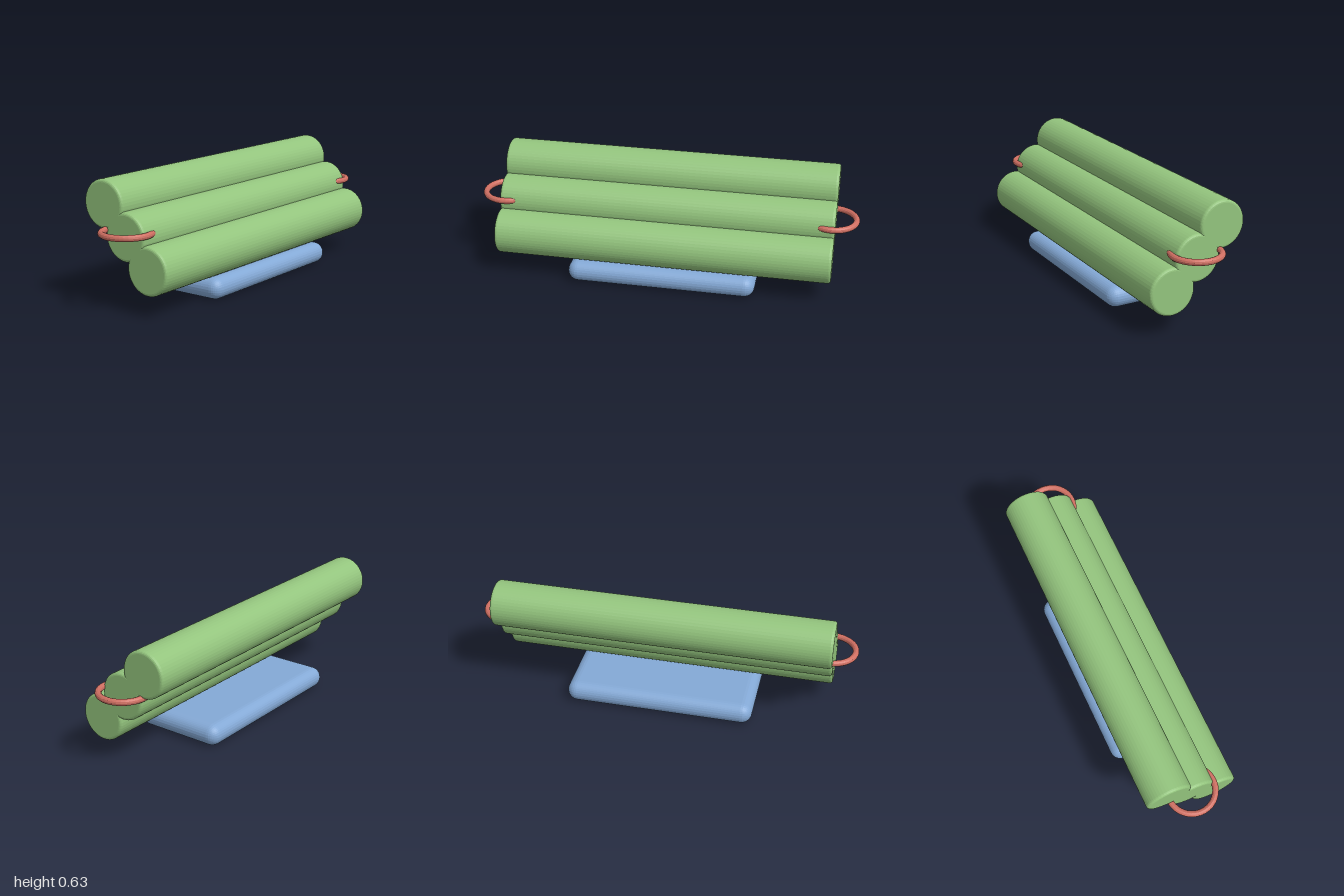
import * as THREE from 'three';
import { RoundedBoxGeometry } from 'three/addons/geometries/RoundedBoxGeometry.js';

const material = (color) => new THREE.MeshStandardMaterial({ color, flatShading: true });

// Horizontal roller along x with softly rounded end rims
function rollerGeometry(radius, halfLength, bevel) {
  const profile = [new THREE.Vector2(0, -halfLength)];
  for (const side of [-1, 1]) {
    for (let i = 0; i <= 4; i++) {
      const a = (side < 0 ? i : 4 - i) * Math.PI / 8;
      profile.push(new THREE.Vector2(
        radius - bevel + bevel * Math.sin(a),
        side * (halfLength - bevel + bevel * Math.cos(a))
      ));
    }
  }
  profile.push(new THREE.Vector2(0, halfLength));
  return new THREE.LatheGeometry(profile, 48).rotateZ(-Math.PI / 2);
}

export function createModel() {
  const model = new THREE.Group();
  const add = (name, geometry, mat, x, y, z) => {
    const mesh = new THREE.Mesh(geometry, mat);
    mesh.name = name;
    mesh.position.set(x, y, z);
    model.add(mesh);
  };

  // Rounded slab the rollers rest on
  add('base', new RoundedBoxGeometry(0.99, 0.112, 0.496, 4, 0.0555), material(0x84a9d6), 0, 0.056, 0);

  // Three overlapping rollers climbing from front to back
  const green = material(0x93c47d);
  const roller = rollerGeometry(0.12, 0.88, 0.015);
  ['lowerRoller', 'middleRoller', 'upperRoller'].forEach((name, i) =>
    add(name, roller, green, 0, 0.222 + 0.1435 * i, 0.133 * (1 - i)));

  // Ring handle around each end of the middle roller
  const red = material(0xcf6f62);
  const ring = new THREE.TorusGeometry(0.121, 0.016, 12, 40).rotateX(Math.PI / 2);
  add('leftHandle', ring, red, 0.863, 0.388, 0);
  add('rightHandle', ring, red, -0.863, 0.388, 0);

  return model;
}
